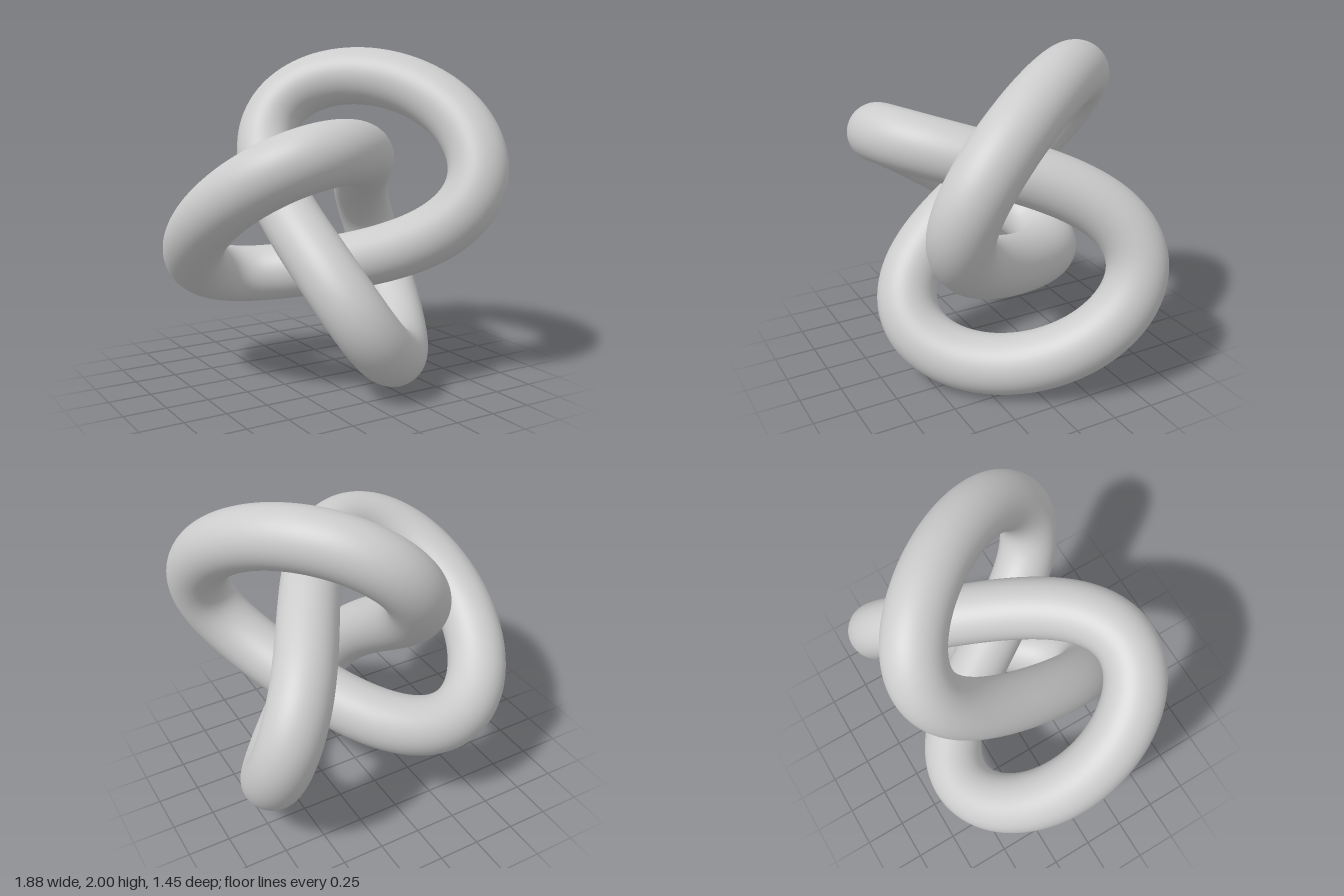
import * as THREE from 'three';

// Closed trefoil centreline with three-fold symmetry about the z axis
class TrefoilCurve extends THREE.Curve {
  getPoint(u, target = new THREE.Vector3()) {
    const t = u * Math.PI * 2;
    const { sin, cos } = Math;
    return target.set(
      0.133 + 0.233 * cos(t) - 0.6 * cos(2 * t) - 0.013 * cos(4 * t) + 0.048 * cos(5 * t),
      1 + 0.235 * sin(t) + 0.602 * sin(2 * t) - 0.013 * sin(4 * t) - 0.048 * sin(5 * t),
      -0.549 * sin(3 * t)
    );
  }
}

export function createModel() {
  const group = new THREE.Group();
  group.name = 'trefoilKnot';

  // Round tube swept along the knot
  const knot = new THREE.Mesh(
    new THREE.TubeGeometry(new TrefoilCurve(), 360, 0.177, 48, true),
    new THREE.MeshStandardMaterial({ color: 0xcccccc })
  );
  knot.name = 'knotTube';
  group.add(knot);
  return group;
}
